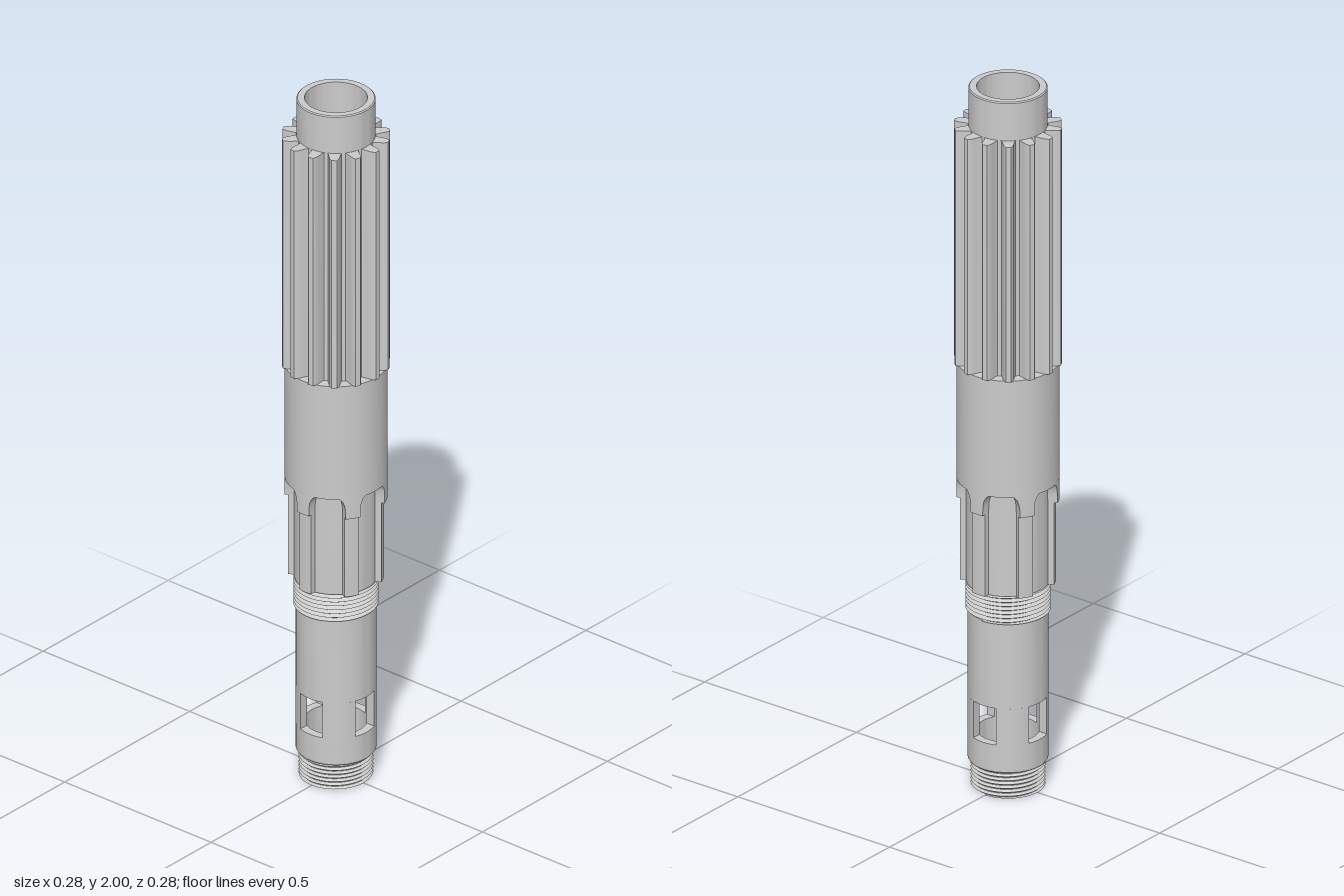
import * as THREE from 'three';
import { toCreasedNormals } from 'three/addons/utils/BufferGeometryUtils.js';

const material = new THREE.MeshStandardMaterial({ color: 0xcccccc });
const TAU = Math.PI * 2;
const polar = (r, a) => new THREE.Vector2(r * Math.cos(a), r * Math.sin(a));

function part(name, geometry, crease = 0.5) {
  const mesh = new THREE.Mesh(toCreasedNormals(geometry, crease), material);
  mesh.name = name;
  return mesh;
}

// Closed ring of revolution: the outer side runs upwards, the bore back down
function turned(name, profile) {
  const pts = [...profile, profile[0]].map(([r, y]) => new THREE.Vector2(r, y));
  return part(name, new THREE.LatheGeometry(pts, 72));
}

// Extrude a plan shape upwards from y0 to y1
function upright(name, shape, y0, y1) {
  const g = new THREE.ExtrudeGeometry(shape, { depth: y1 - y0, bevelEnabled: false, curveSegments: 48 });
  g.rotateX(-Math.PI / 2).translate(0, y0, 0);
  return part(name, g);
}

// Skin rows of points, each row running round the axis counter-clockwise seen from above
function skin(rows, closed) {
  const n = rows[0].length, pos = [], index = [];
  rows.forEach(row => row.forEach(p => pos.push(...p)));
  for (let j = 0; j < rows.length - 1; j++) {
    for (let i = 0; i < (closed ? n : n - 1); i++) {
      const a = j * n + i, b = j * n + (i + 1) % n;
      index.push(a, b, b + n, a, b + n, a + n);
    }
  }
  const g = new THREE.BufferGeometry();
  g.setAttribute('position', new THREE.Float32BufferAttribute(pos, 3));
  g.setIndex(index);
  return g;
}

// Helical V thread, cut off square at both ends
function thread(name, y0, y1, root, crest, turns) {
  const pitch = (y1 - y0) / turns, rows = [], seg = 60;
  for (let k = -2; k <= turns * 2; k++) {
    const r = k % 2 ? crest : root;
    const row = [];
    for (let i = 0; i <= seg; i++) {
      const a = (i / seg) * TAU;
      const y = y0 + pitch * (k / 2 + i / seg);
      const p = polar(r, a);
      row.push([p.x, Math.min(y1, Math.max(y0, y)), -p.y]);
    }
    rows.push(row);
  }
  return part(name, skin(rows, false), 0.4);
}

// Long gear: 14 teeth with a straight tip and curved flanks
function gear() {
  const teeth = 14, flank = [[0.104, 0.018], [0.112, 0.0155], [0.122, 0.0145], [0.134, 0.0115], [0.14, 0.0085], [0.142, 0.007]];
  const pts = [];
  for (let t = 0; t < teeth; t++) {
    const a = Math.PI / 2 + (t / teeth) * TAU;
    flank.forEach(([r, w]) => pts.push(polar(r, a - w / r)));
    [...flank].reverse().forEach(([r, w]) => pts.push(polar(r, a + w / r)));
    pts.push(polar(0.103, a + Math.PI / teeth));
  }
  const shape = new THREE.Shape(pts);
  shape.holes.push(new THREE.Path().absarc(0, 0, 0.09, 0, TAU, true));
  return upright('gearTeeth', shape, 1.215, 1.89);
}

// Six ribs that flare where the grooves run out under the shoulder
function splines() {
  // y, groove floor radius, rib radius, rib half width
  const stations = [
    [0.585, 0.1, 0.1, 0.02], [0.585, 0.109, 0.125, 0.02], [0.82, 0.109, 0.125, 0.02],
    [0.82, 0.109, 0.134, 0.02], [0.845, 0.109, 0.134, 0.0205], [0.86, 0.109, 0.134, 0.023],
    [0.872, 0.109, 0.134, 0.028], [0.88, 0.109, 0.134, 0.036],
  ];
  const rows = stations.map(([y, floor, top, w]) => {
    const row = [], step = TAU / 6;
    const add = (r, a) => { const p = polar(r, a); row.push([p.x, y, -p.y]); };
    for (let k = 0; k < 6; k++) {
      const a = k * step, base = Math.asin(w / floor), tip = Math.asin(w / top);
      for (let i = 0; i <= 4; i++) add(top, a + tip * (i / 2 - 1));
      for (let i = 0; i <= 8; i++) add(floor, a + base + (step - 2 * base) * (i / 8));
    }
    return row;
  });
  return part('splineRibs', skin(rows, true));
}

// Four wall pieces that leave square-sided windows at front, back, left and right
function windowBand(y0, y1) {
  const group = new THREE.Group();
  group.name = 'windowBand';
  const half = 0.037, outer = 0.105, inner = 0.082;
  const ao = Math.asin(half / outer), ai = Math.asin(half / inner);
  const shape = new THREE.Shape();
  shape.absarc(0, 0, outer, ao, Math.PI / 2 - ao, false);
  shape.absarc(0, 0, inner, Math.PI / 2 - ai, ai, true);
  for (let k = 0; k < 4; k++) {
    const wall = upright('windowPillar', shape, y0, y1);
    wall.rotation.y = k * Math.PI / 2;
    group.add(wall);
  }
  return group;
}

export function createModel() {
  const model = new THREE.Group();
  model.name = 'hollowShaft';
  model.add(
    // Upper sleeve with a stepped bore
    turned('upperSleeve', [
      [0.067, 0.45], [0.1, 0.45], [0.1, 1.85], [0.103, 1.85], [0.103, 1.997], [0.1, 2], [0.082, 2], [0.082, 1.8], [0.067, 1.8],
    ]),
    gear(),
    // Plain shoulder between gear and splines
    turned('shoulder', [[0.095, 0.88], [0.134, 0.88], [0.134, 1.215], [0.095, 1.215]]),
    splines(),
    thread('upperThread', 0.505, 0.585, 0.101, 0.111, 7),
    // Lower tube above and below the windows
    turned('lowerTube', [[0.082, 0.26], [0.105, 0.26], [0.105, 0.505], [0.067, 0.505], [0.067, 0.45], [0.082, 0.45]]),
    windowBand(0.155, 0.26),
    turned('lowerCollar', [[0.082, 0.075], [0.102, 0.075], [0.105, 0.08], [0.105, 0.155], [0.082, 0.155]]),
    turned('threadCore', [[0.082, 0], [0.09, 0], [0.09, 0.075], [0.082, 0.075]]),
    thread('lowerThread', 0, 0.078, 0.089, 0.097, 7),
  );
  return model;
}
